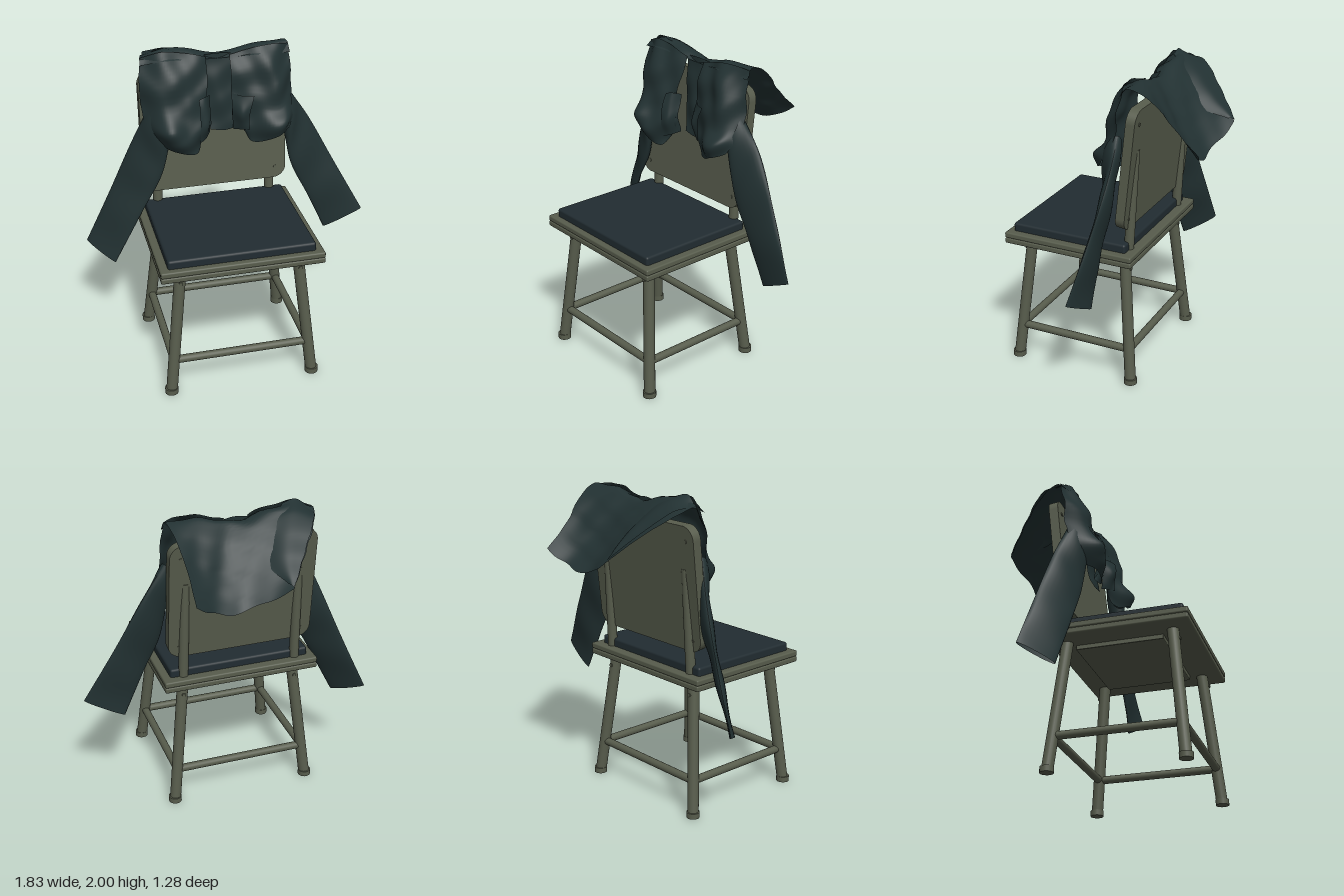
import * as THREE from 'three';
import { RoundedBoxGeometry } from 'three/addons/geometries/RoundedBoxGeometry.js';

const paint = (name, color, side = THREE.FrontSide) => {
  const m = new THREE.MeshStandardMaterial({ color, side });
  m.name = name;
  return m;
};
const V = (a) => new THREE.Vector3(...a);

export function createModel() {
  const model = new THREE.Group();
  model.name = 'chairWithJacket';
  const frameMat = paint('olive grey frame', 0x575c4c);
  const cushionMat = paint('dark cushion', 0x212c31);
  const clothMat = paint('dark green cloth', 0x223132, THREE.DoubleSide);

  const add = (name, geometry, material, parent = model) => {
    const mesh = new THREE.Mesh(geometry, material);
    mesh.name = name;
    parent.add(mesh);
    return mesh;
  };
  const box = (name, x0, x1, y0, y1, z0, z1, mat, r = 0.01) =>
    add(name, new RoundedBoxGeometry(x1 - x0, y1 - y0, z1 - z0, 2, r), mat)
      .position.set((x0 + x1) / 2, (y0 + y1) / 2, (z0 + z1) / 2);
  // round bar between two points
  const bar = (name, a, b, r) => {
    const p = V(a), q = V(b), d = q.clone().sub(p);
    const m = add(name, new THREE.CylinderGeometry(r, r, d.length(), 20), frameMat);
    m.position.copy(p).add(q).multiplyScalar(0.5);
    m.quaternion.setFromUnitVectors(new THREE.Vector3(0, 1, 0), d.normalize());
    return m;
  };

  // Seat: two stacked rims, cushion, plate below
  box('seatRimLower', -0.59, 0.43, 0.84, 0.877, -0.24, 0.645, frameMat);
  box('seatRimUpper', -0.59, 0.43, 0.877, 0.915, -0.24, 0.645, frameMat);
  box('cushion', -0.54, 0.38, 0.9, 0.968, -0.18, 0.605, cushionMat, 0.015);
  box('underPlate', -0.41, 0.25, 0.812, 0.845, -0.1, 0.45, frameMat, 0.005);

  // Legs lean outward to the floor; stretchers join them
  const cx = -0.08, cz = 0.19;
  const legAt = (sx, sz, y) => {
    const t = y / 0.84;
    return [cx + sx * (0.46 - 0.09 * t), y, cz + sz * (0.41 - 0.08 * t)];
  };
  for (const sx of [-1, 1]) for (const sz of [-1, 1]) {
    bar('leg', legAt(sx, sz, 0.015), legAt(sx, sz, 0.85), 0.036);
    const f = legAt(sx, sz, 0);
    bar('foot', f, [f[0], 0.036, f[2]], 0.042);
    const s = legAt(sx, sz, 0.775);
    bar('legBolt', s, [s[0], s[1], s[2] + sz * 0.042], 0.012);
  }
  for (const s of [-1, 1]) {
    bar('crossStretcher', legAt(-1, s, 0.23), legAt(1, s, 0.23), 0.025);
    bar('sideStretcher', legAt(s, -1, 0.23), legAt(s, 1, 0.23), 0.025);
    bar('backPost', [cx + s * 0.375, 0.85, -0.165], [cx + s * 0.365, 1.57, -0.202], 0.031);
  }

  // Backrest: rounded panel leaning back, with bolts
  const w = 0.47, h = 0.393, r = 0.085;
  const shape = new THREE.Shape();
  shape.absarc(w - r, h - r, r, 0, Math.PI / 2);
  shape.absarc(-w + r, h - r, r, Math.PI / 2, Math.PI);
  shape.absarc(-w + r, -h + r, r, Math.PI, Math.PI * 1.5);
  shape.absarc(w - r, -h + r, r, Math.PI * 1.5, Math.PI * 2);
  const back = new THREE.Group();
  back.name = 'backrest';
  back.position.set(cx, 1.447, -0.184);
  back.rotation.x = -0.107;
  model.add(back);
  const panel = new THREE.ExtrudeGeometry(shape, { depth: 0.06, bevelEnabled: false, curveSegments: 10 });
  add('backPanel', panel.translate(0, 0, -0.03), frameMat, back);
  for (const x of [-0.4, 0.4]) for (const y of [-0.32, 0.3]) {
    const bolt = add('panelBolt', new THREE.CylinderGeometry(0.012, 0.012, 0.068, 12), frameMat, back);
    bolt.rotation.x = Math.PI / 2;
    bolt.position.set(x, y, 0);
  }

  // Grid of smooth faces from a position rule p(u, v)
  const surface = (p, nu, nv) => {
    const pos = [], idx = [];
    for (let j = 0; j <= nv; j++) for (let i = 0; i <= nu; i++) pos.push(...p(i / nu, j / nv).toArray());
    for (let j = 0; j < nv; j++) for (let i = 0; i < nu; i++) {
      const a = j * (nu + 1) + i, b = a + nu + 1;
      idx.push(a, b, a + 1, b, b + 1, a + 1);
    }
    const g = new THREE.BufferGeometry();
    g.setAttribute('position', new THREE.Float32BufferAttribute(pos, 3));
    g.setIndex(idx);
    g.computeVertexNormals();
    return g;
  };
  // Cloth sheet through rows of points, with soft wrinkles
  const cloth = (name, rows, wrinkle = 0.006) => {
    const curves = rows.map((row) => new THREE.CatmullRomCurve3(row.map(V)));
    return add(name, surface((u, v) => {
      const q = new THREE.CatmullRomCurve3(curves.map((c) => c.getPoint(u))).getPoint(v);
      const n = Math.sin(q.x * 31 + q.y * 17) + Math.sin(q.y * 37 - q.x * 15 + q.z * 21);
      q.z += wrinkle * n;
      q.y += wrinkle * 0.5 * n;
      return q;
    }, 28, 28), clothMat);
  };

  // Jacket back: over the top of the chair and flaring out behind
  cloth('jacketBack', [
    [[-0.24, 1.64, -0.64], [-0.1, 1.57, -0.59], [0.06, 1.51, -0.57], [0.22, 1.54, -0.58], [0.35, 1.62, -0.63]],
    [[-0.37, 1.79, -0.48], [-0.16, 1.73, -0.46], [0.06, 1.67, -0.44], [0.22, 1.7, -0.45], [0.35, 1.77, -0.47]],
    [[-0.49, 1.91, -0.31], [-0.2, 1.89, -0.32], [0.06, 1.85, -0.31], [0.22, 1.88, -0.32], [0.38, 1.93, -0.32]],
    [[-0.53, 1.95, -0.2], [-0.36, 1.99, -0.2], [-0.06, 1.93, -0.21], [0.2, 1.97, -0.21], [0.4, 1.97, -0.2]],
    [[-0.54, 1.91, -0.15], [-0.36, 1.94, -0.11], [-0.06, 1.91, -0.16], [0.2, 1.93, -0.11], [0.41, 1.91, -0.15]],
  ]);
  // Side folded over the back
  cloth('foldedSide', [
    [[-0.24, 1.65, -0.64], [-0.23, 1.66, -0.62], [-0.22, 1.66, -0.6]],
    [[-0.37, 1.81, -0.48], [-0.25, 1.81, -0.45], [-0.13, 1.77, -0.38]],
    [[-0.49, 1.94, -0.31], [-0.36, 1.96, -0.28], [-0.24, 1.93, -0.27]],
    [[-0.52, 1.94, -0.19], [-0.42, 2.0, -0.18], [-0.34, 1.99, -0.17]],
  ], 0.004);
  // Front halves, bulging forward above their lower hems
  cloth('jacketFrontRight', [
    [[-0.53, 1.95, -0.18], [-0.4, 1.985, -0.15], [-0.26, 1.97, -0.14], [-0.13, 1.93, -0.15]],
    [[-0.55, 1.8, -0.15], [-0.42, 1.83, -0.06], [-0.27, 1.82, -0.07], [-0.13, 1.8, -0.1]],
    [[-0.54, 1.62, -0.13], [-0.4, 1.6, 0], [-0.27, 1.62, -0.02], [-0.15, 1.64, -0.06]],
    [[-0.52, 1.5, -0.11], [-0.41, 1.51, 0.06], [-0.27, 1.5, 0.04], [-0.12, 1.52, -0.05]],
    [[-0.46, 1.41, -0.1], [-0.36, 1.38, 0.01], [-0.22, 1.35, 0], [-0.18, 1.42, -0.06]],
  ]);
  cloth('jacketFrontLeft', [
    [[0.02, 1.93, -0.15], [0.13, 1.96, -0.14], [0.28, 1.98, -0.14], [0.4, 1.96, -0.18]],
    [[0.02, 1.8, -0.1], [0.15, 1.82, -0.08], [0.29, 1.82, -0.05], [0.415, 1.8, -0.14]],
    [[0.02, 1.64, -0.08], [0.15, 1.62, -0.04], [0.3, 1.6, 0], [0.42, 1.62, -0.12]],
    [[0.03, 1.52, -0.08], [0.14, 1.5, -0.02], [0.32, 1.52, 0.06], [0.41, 1.53, -0.05]],
    [[0.1, 1.44, -0.07], [0.14, 1.38, -0.03], [0.3, 1.43, 0.04], [0.38, 1.47, 0]],
  ]);
  // Inner strip between the halves, and turned-out front edges
  cloth('innerLining', [
    [[-0.16, 1.93, -0.18], [-0.05, 1.94, -0.17], [0.06, 1.93, -0.18]],
    [[-0.14, 1.7, -0.15], [-0.05, 1.7, -0.13], [0.07, 1.7, -0.15]],
    [[-0.11, 1.45, -0.12], [-0.02, 1.44, -0.11], [0.1, 1.46, -0.12]],
  ], 0.003);
  cloth('frontEdgeRight', [
    [[-0.2, 1.7, -0.03], [-0.16, 1.71, -0.04], [-0.12, 1.7, -0.09]],
    [[-0.2, 1.58, 0.01], [-0.15, 1.56, 0], [-0.12, 1.57, -0.06]],
    [[-0.2, 1.42, 0], [-0.16, 1.43, -0.03], [-0.12, 1.45, -0.09]],
  ], 0.004);
  cloth('frontEdgeLeft', [
    [[0.02, 1.7, -0.09], [0.08, 1.69, -0.05], [0.15, 1.69, -0.03]],
    [[0.02, 1.58, -0.07], [0.07, 1.57, -0.01], [0.12, 1.58, -0.01]],
    [[0.03, 1.45, -0.09], [0.08, 1.46, -0.05], [0.12, 1.47, -0.02]],
  ], 0.004);

  // Sleeves: flattened open tubes between an outer and an inner edge
  const sleeve = (name, outer, inner) => {
    const a = new THREE.CatmullRomCurve3(outer.map(V)), b = new THREE.CatmullRomCurve3(inner.map(V));
    add(name, surface((u, v) => {
      const p = a.getPoint(v), q = b.getPoint(v), t = u * Math.PI * 2;
      const c = p.clone().lerp(q, 0.5 - 0.5 * Math.cos(t));
      const thick = 0.05 - 0.035 * v + 0.005 * Math.sin(v * 19);
      const n = q.clone().sub(p).cross(a.getTangent(v)).normalize();
      return c.addScaledVector(n, Math.sin(t) * thick);
    }, 24, 30), clothMat);
  };
  sleeve('rightSleeve',
    [[-0.5, 1.64, -0.13], [-0.61, 1.38, -0.19], [-0.76, 1.02, -0.24], [-0.92, 0.66, -0.28]],
    [[-0.38, 1.45, -0.05], [-0.44, 1.2, -0.06], [-0.57, 0.95, -0.07], [-0.76, 0.57, -0.1]]);
  sleeve('leftSleeve',
    [[0.39, 1.68, -0.14], [0.53, 1.48, -0.15], [0.72, 1.13, -0.11], [0.91, 0.78, -0.05]],
    [[0.36, 1.46, -0.05], [0.41, 1.18, -0.07], [0.53, 0.93, -0.08], [0.66, 0.65, -0.09]]);

  return model;
}
